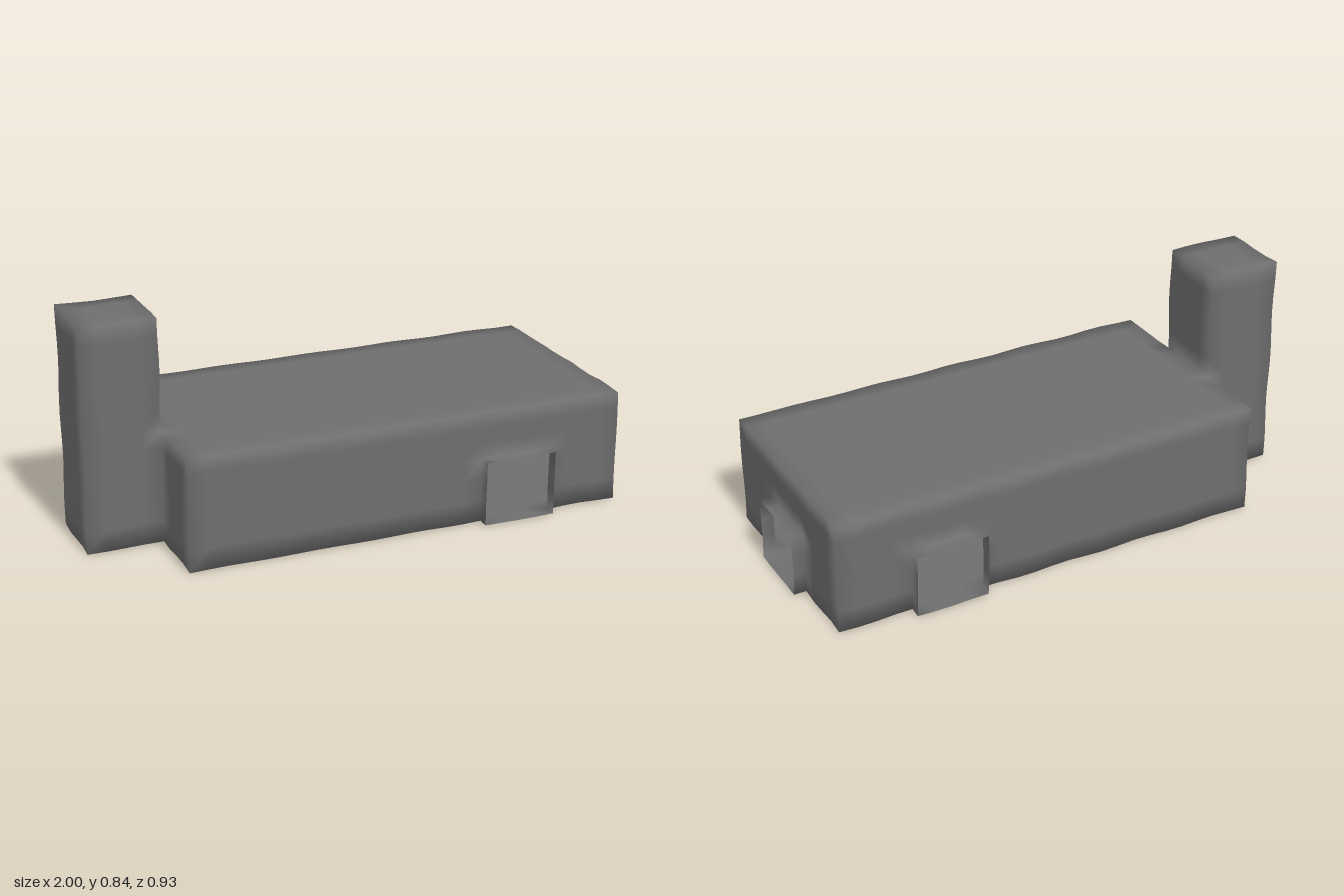
import * as THREE from 'three';
import { mergeVertices } from 'three/addons/utils/BufferGeometryUtils.js';

const material = new THREE.MeshStandardMaterial({ color: 0x6e6e6e, side: THREE.DoubleSide });

// Main levels shared by the parts
const BASE = 0.007, DOOR = 0.247, ROOF = 0.426, TOP = 0.84;
const WEST = -0.717, EAST = 0.948, HALF = 0.418, POST = 0.14;
const DOOR_X = [0.394, 0.67];

// Break points filled in with evenly spaced steps
function steps(...stops) {
  const out = [stops[0]];
  for (let i = 1; i < stops.length; i++) {
    const a = stops[i - 1], n = Math.max(1, Math.round((stops[i] - a) / 0.07));
    for (let k = 1; k <= n; k++) out.push(a + (stops[i] - a) * k / n);
  }
  return out;
}

// Slightly uneven, hand-shaped surface; depends on position so parts still meet
function wobble(p) {
  const [x, y, z] = p, s = 0.002;
  return [
    x + s * Math.sin(17 * y + 23 * z),
    y + s * Math.sin(19 * x + 29 * z),
    z + s * Math.sin(21 * x + 16 * y),
  ];
}

// Thin smooth-shaded box skin on a grid; open(axis, side, centre) leaves out cells
function shell(name, xs, ys, zs, open) {
  const grid = [xs, ys, zs], positions = [];
  for (let a = 0; a < 3; a++) {
    const u = (a + 1) % 3, v = (a + 2) % 3, U = grid[u], V = grid[v];
    for (const side of [-1, 1]) {
      const level = side < 0 ? grid[a][0] : grid[a].at(-1);
      const point = (pu, pv) => {
        const p = [];
        p[a] = level; p[u] = pu; p[v] = pv;
        return p;
      };
      for (let i = 0; i < U.length - 1; i++) for (let j = 0; j < V.length - 1; j++) {
        if (open(a, side, point((U[i] + U[i + 1]) / 2, (V[j] + V[j + 1]) / 2))) continue;
        const q = [point(U[i], V[j]), point(U[i + 1], V[j]),
          point(U[i + 1], V[j + 1]), point(U[i], V[j + 1])].map(wobble);
        const order = side > 0 ? [0, 1, 2, 0, 2, 3] : [0, 2, 1, 0, 3, 2];
        for (const k of order) positions.push(...q[k]);
      }
    }
  }
  let geometry = new THREE.BufferGeometry();
  geometry.setAttribute('position', new THREE.Float32BufferAttribute(positions, 3));
  geometry = mergeVertices(geometry, 1e-4);
  geometry.computeVertexNormals();
  const mesh = new THREE.Mesh(geometry, material);
  mesh.name = name;
  return mesh;
}

// Share normals where parts meet, so the shading flows across the joins
function blendJoins(meshes) {
  const sums = new Map(), p = new THREE.Vector3(), n = new THREE.Vector3();
  const eachVertex = (visit) => {
    for (const { geometry: { attributes: { position, normal } } } of meshes) {
      for (let i = 0; i < position.count; i++) {
        const key = p.fromBufferAttribute(position, i).toArray().map((c) => Math.round(c * 1000)).join();
        visit(key, normal, i);
      }
    }
  };
  eachVertex((key, normal, i) => {
    if (!sums.has(key)) sums.set(key, new THREE.Vector3());
    sums.get(key).add(n.fromBufferAttribute(normal, i));
  });
  eachVertex((key, normal, i) => {
    n.copy(sums.get(key)).normalize();
    normal.setXYZ(i, n.x, n.y, n.z);
  });
}

export function createModel() {
  const group = new THREE.Group();
  group.name = 'lowHouseWithChimney';
  const inDoorX = (x) => x > DOOR_X[0] && x < DOOR_X[1];
  const inPost = (z) => Math.abs(z) < POST;

  // Hollow body with three doorways and an opening into the chimney
  group.add(shell('body',
    steps(WEST, ...DOOR_X, EAST), steps(BASE, DOOR, ROOF), steps(-HALF, -POST, POST, HALF),
    (axis, side, [x, y, z]) =>
      (axis === 2 && y < DOOR && inDoorX(x)) ||
      (axis === 0 && inPost(z) && (side < 0 || y < DOOR))));

  // Hollow chimney, closed at the top and open to the body
  group.add(shell('chimney',
    steps(-0.998, WEST), steps(BASE, DOOR, ROOF, TOP), steps(-POST, POST),
    (axis, side, [, y]) => axis === 0 && side > 0 && y < ROOF));

  // Short open sleeves around the doorways
  const doorY = steps(BASE, DOOR);
  for (const [name, z0, z1] of [['frontDoorway', HALF, 0.463], ['backDoorway', -0.463, -HALF]]) {
    group.add(shell(name, steps(...DOOR_X), doorY, steps(z0, z1), (axis) => axis === 2));
  }
  group.add(shell('sideDoorway', steps(EAST, 0.995), doorY, steps(-POST, POST), (axis) => axis === 0));

  blendJoins(group.children);
  return group;
}
